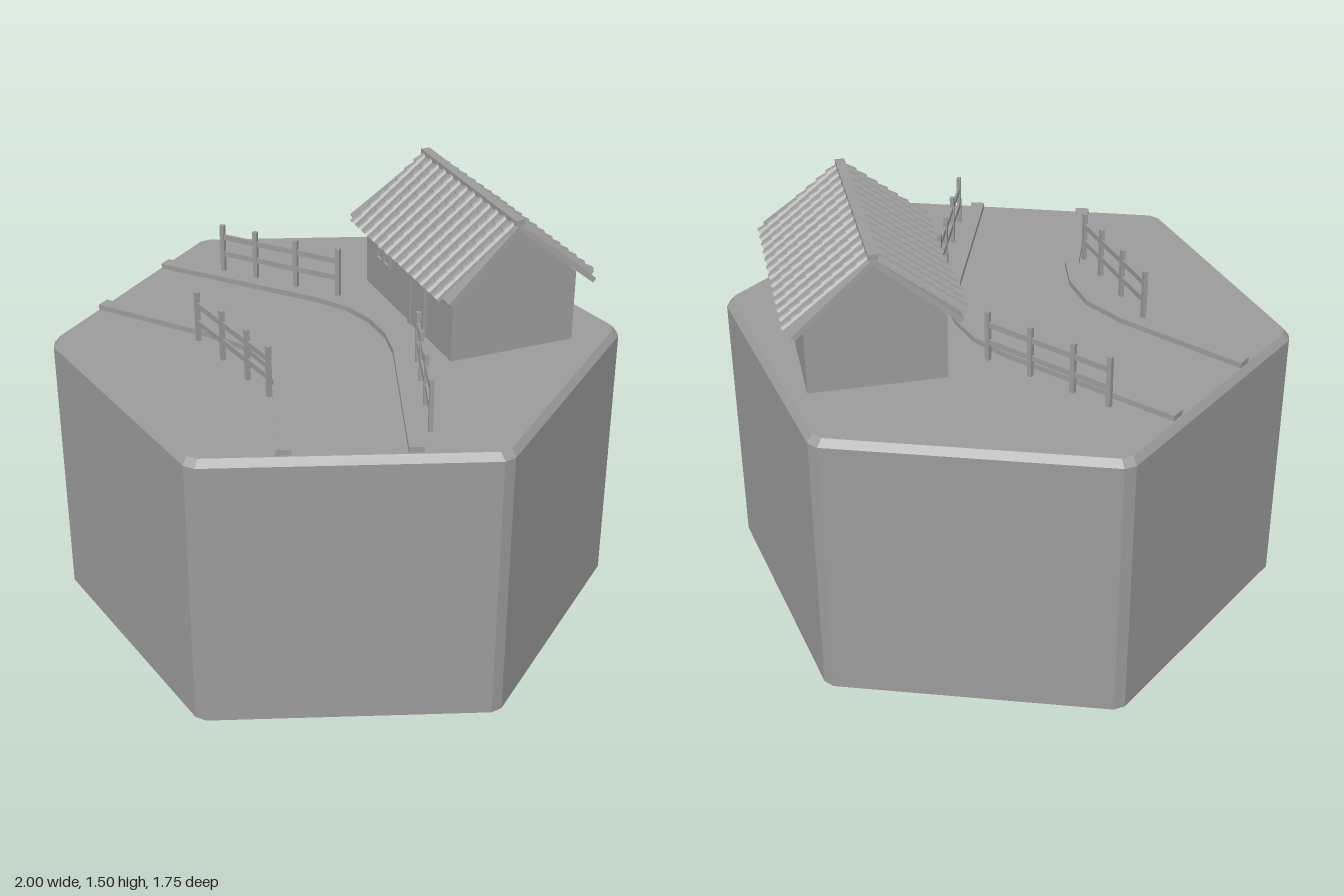
import * as THREE from 'three';
import { mergeGeometries } from 'three/addons/utils/BufferGeometryUtils.js';

const GROUND = 1.01;
const COLOR = 0x9b9b9b;
const stone = new THREE.MeshStandardMaterial({ color: COLOR, flatShading: true });
const stoneThin = new THREE.MeshStandardMaterial({ color: COLOR, flatShading: true, side: THREE.DoubleSide });

function add(parent, name, geometry, material = stone) {
  const mesh = new THREE.Mesh(geometry, material);
  mesh.name = name;
  parent.add(mesh);
}

const box = (w, h, d, x, y, z) => new THREE.BoxGeometry(w, h, d).translate(x, y, z);

// Hexagonal block with narrow corner facets and a bevelled top rim
function hexBase() {
  const g = new THREE.CylinderGeometry(1, 1, 2, 12, 2, false, Math.PI / 12);
  const p = g.attributes.position;
  for (let i = 0; i < p.count; i++) {
    const x = p.getX(i), z = p.getZ(i), level = Math.round(p.getY(i));
    p.setY(i, [0, 0.985, GROUND][level + 1]);
    if (Math.hypot(x, z) < 0.1) continue;
    const a = Math.atan2(z, x);
    const corner = Math.round(a / (Math.PI / 3)) * Math.PI / 3;
    const angle = corner + Math.sign(a - corner) * 0.021;
    const r = level === 1 ? 0.978 : 1;
    p.setXYZ(i, Math.cos(angle) * r, p.getY(i), Math.sin(angle) * r);
  }
  g.computeVertexNormals();
  return g;
}

// Flat kerb strip following a path of [x, z] points
function kerb(points, width) {
  const pts = points.map(([x, z]) => new THREE.Vector2(x, -z));
  const left = [], right = [];
  pts.forEach((p, i) => {
    const a = pts[Math.max(i - 1, 0)], b = pts[Math.min(i + 1, pts.length - 1)];
    const d = b.clone().sub(a).normalize();
    const n = new THREE.Vector2(-d.y, d.x).multiplyScalar(width / 2);
    left.push(p.clone().add(n));
    right.unshift(p.clone().sub(n));
  });
  const g = new THREE.ExtrudeGeometry(new THREE.Shape([...left, ...right]), { depth: 0.03, bevelEnabled: false });
  return g.rotateX(-Math.PI / 2).translate(0, GROUND - 0.01, 0);
}

// Fence with four posts and two rails between two ground points
function fence([x0, z0], [x1, z1]) {
  const group = new THREE.Group();
  const length = Math.hypot(x1 - x0, z1 - z0);
  group.name = 'fence';
  group.position.set(x0, GROUND, z0);
  group.rotation.y = -Math.atan2(z1 - z0, x1 - x0);
  for (const t of [0, 0.29, 0.64, 1])
    add(group, 'fencePost', box(0.017, 0.185, 0.015, t * length, 0.0925, 0));
  for (const y of [0.07, 0.137])
    add(group, 'fenceRail', box(length, 0.021, 0.008, length / 2, y, 0));
  return group;
}

// One roof slope: slab flaring towards the eave, covered in rows of barrel tiles
function roofSlope(angle, length) {
  const group = new THREE.Group();
  group.name = 'roofSlope';
  const slab = new THREE.BoxGeometry(length, 0.018, 1).translate(length / 2, -0.009, 0);
  const p = slab.attributes.position;
  for (let i = 0; i < p.count; i++)
    p.setZ(i, Math.sign(p.getZ(i)) * (p.getX(i) < length / 2 ? 0.375 : 0.425));
  slab.computeVertexNormals();
  add(group, 'roofSlab', slab);

  // The lowest row of tiles reaches a little past the eave
  const tiles = [], rows = 8, columns = 13, step = (length + 0.01) / rows;
  for (let c = 0; c < columns; c++) {
    for (let r = 0; r < rows; r++) {
      const tile = new THREE.CylinderGeometry(0.014, 0.024, step * 1.25, 6, 1, true, 0, Math.PI);
      tile.rotateZ(Math.PI / 2);
      tile.translate((r + 0.5) * step, 0, (c - (columns - 1) / 2) * 0.0585);
      tiles.push(tile);
    }
  }
  add(group, 'roofTiles', mergeGeometries(tiles), stoneThin);
  group.rotation.z = -angle;
  return group;
}

function house() {
  const group = new THREE.Group();
  group.name = 'house';
  group.position.set(0.475, 0, -0.182);
  group.rotation.y = 0.345;

  // Walls, with a gable prism on top
  const w = 0.235, half = 0.365, wallTop = 1.268;
  add(group, 'walls', box(2 * w, wallTop - GROUND, 2 * half, 0, (wallTop + GROUND) / 2, 0));
  const gable = new THREE.Shape([
    new THREE.Vector2(-w, wallTop), new THREE.Vector2(w, wallTop), new THREE.Vector2(0, 1.455),
  ]);
  add(group, 'gables', new THREE.ExtrudeGeometry(gable, { depth: 2 * half, bevelEnabled: false })
    .translate(0, 0, -half));

  // Roof: the same slope turned round for the other side
  const run = 0.28, drop = 0.222;
  for (const turn of [0, Math.PI]) {
    const side = new THREE.Group();
    side.name = 'roofSide';
    side.position.y = 1.481;
    side.rotation.y = turn;
    side.add(roofSlope(Math.atan2(drop, run), Math.hypot(run, drop)));
    group.add(side);
  }
  add(group, 'ridgeCap', box(0.034, 0.02, 0.75, 0, 1.488, 0));

  // Door with frame in the long wall
  const doorZ = 0.095;
  add(group, 'door', box(0.01, 0.18, 0.1, -w, GROUND + 0.09, doorZ));
  for (const s of [-1, 1])
    add(group, 'doorJamb', box(0.024, 0.2, 0.018, -w, GROUND + 0.1, doorZ + s * 0.058));
  add(group, 'doorLintel', box(0.024, 0.02, 0.134, -w, GROUND + 0.19, doorZ));

  // Window with cross bars
  const winZ = -0.2, winY = 1.19;
  for (const s of [-1, 0, 1]) {
    add(group, 'windowUpright', box(0.02, 0.09, 0.012, -w, winY, winZ + s * 0.055));
    add(group, 'windowBar', box(0.02, 0.01, 0.122, -w, winY + s * 0.04, winZ));
  }
  return group;
}

export function createModel() {
  const model = new THREE.Group();
  model.name = 'hexTile';
  add(model, 'hexBase', hexBase());

  // Kerbs on both sides of the bending road
  add(model, 'leftKerb', kerb([
    [-0.207, 0.85], [-0.207, 0.39], [-0.235, 0.25], [-0.305, 0.115], [-0.43, 0.005], [-0.845, -0.25],
  ], 0.05));
  add(model, 'rightKerb', kerb([
    [0.208, 0.85], [0.208, 0.18], [0.188, 0.045], [0.137, -0.085], [0.06, -0.19], [-0.05, -0.275], [-0.635, -0.605],
  ], 0.05));

  model.add(fence([-0.41, -0.56], [0.015, -0.315]));
  model.add(fence([-0.247, 0.46], [-0.49, 0.035]));
  model.add(fence([0.263, 0.23], [0.263, 0.715]));

  model.add(house());
  return model;
}
